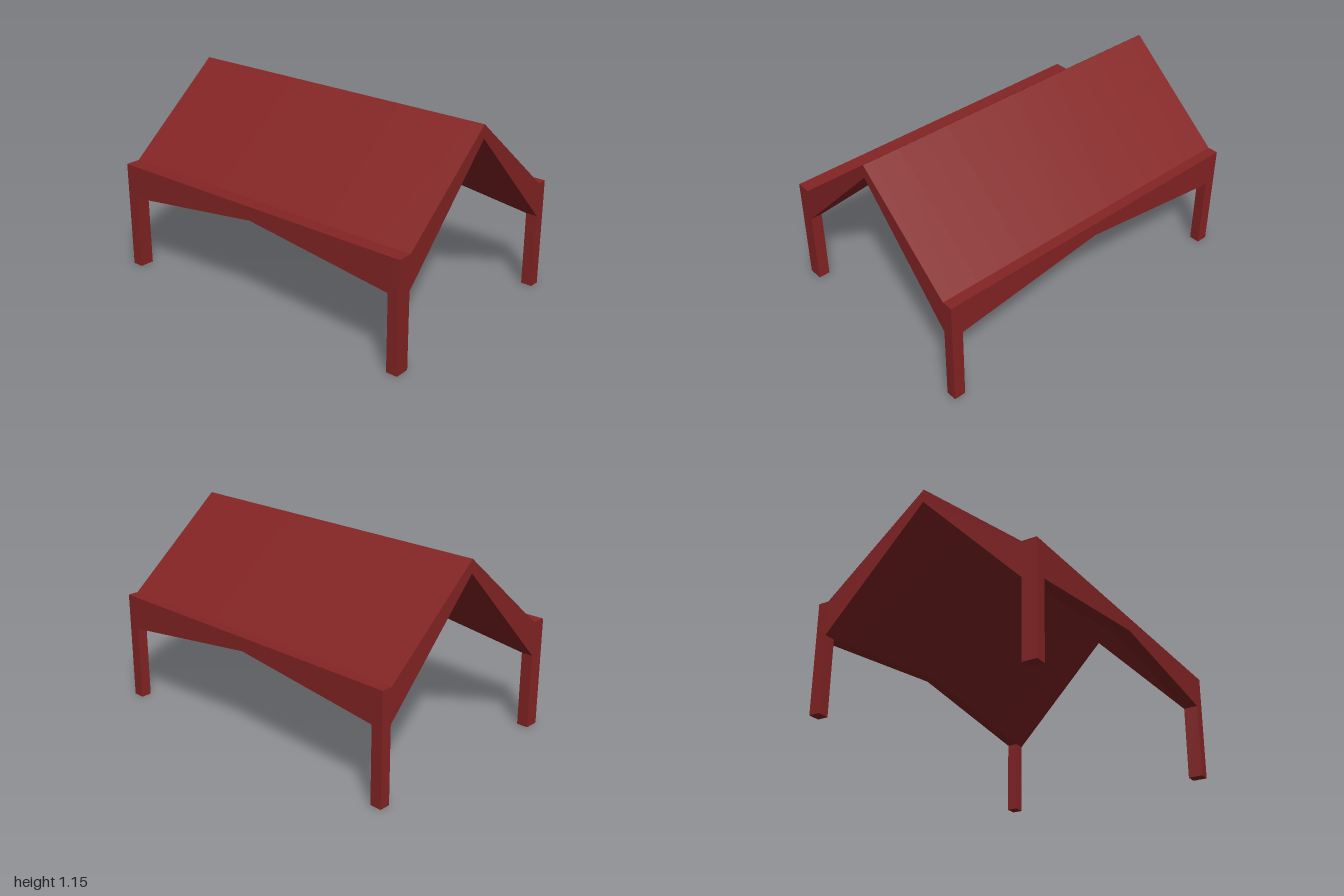
import * as THREE from 'three';

const LEFT = [-0.68, -0.594], RIGHT = [0.614, 0.677]; // x spans of the two eave beams
const RIDGE = 0.01, EAVE = 0.643, LEG_TOP = 0.444, BEAM_MID = 0.563, LEG_Z = 0.932;

// Clockwise cross-section of roof and beams; y is the beam's underside
const section = (y) => [
  [LEFT[0], y], [LEFT[0], EAVE], [LEFT[1], EAVE], [RIDGE, 1.147],
  [RIGHT[0], EAVE], [RIGHT[1], EAVE], [RIGHT[1], y], [RIGHT[0], y],
  [RIDGE, 1.07], [LEFT[1], y],
];

function roofGeometry() {
  // Stations along z: the beam underside rises from each leg to the middle
  const stations = [-1];
  for (let i = -6; i <= 6; i++) stations.push((i / 6) * LEG_Z);
  stations.push(1);
  const rings = stations.map((z) => {
    const t = Math.max(0, 1 - Math.abs(z) / LEG_Z);
    return section(LEG_TOP + (BEAM_MID - LEG_TOP) * t).map(([x, y]) => [x, y, z]);
  });

  const pos = [];
  const quad = (a, b, c, d) => pos.push(...a, ...b, ...c, ...a, ...c, ...d);
  for (let k = 0; k < rings.length - 1; k++) {
    const r = rings[k], s = rings[k + 1];
    for (let i = 0; i < r.length; i++) {
      const j = (i + 1) % r.length;
      quad(r[i], s[i], s[j], r[j]);
    }
  }
  // Gable ends
  const back = rings[0], front = rings[rings.length - 1];
  for (const [a, b, c, d] of [[0, 1, 2, 9], [2, 3, 8, 9], [3, 4, 7, 8], [4, 5, 6, 7]]) {
    quad(back[a], back[b], back[c], back[d]);
    quad(front[d], front[c], front[b], front[a]);
  }
  const geo = new THREE.BufferGeometry();
  geo.setAttribute('position', new THREE.Float32BufferAttribute(pos, 3));
  geo.computeVertexNormals();
  return geo;
}

export function createModel() {
  const group = new THREE.Group();
  group.name = 'gabledShelter';
  const red = new THREE.MeshStandardMaterial({ color: 0x842424 });
  red.name = 'dark red';

  const roof = new THREE.Mesh(roofGeometry(), red);
  roof.name = 'roof';
  group.add(roof);

  // Four corner legs
  for (const [side, [x0, x1]] of [['right', LEFT], ['left', RIGHT]]) {
    for (const [end, dir] of [['Front', 1], ['Back', -1]]) {
      const leg = new THREE.Mesh(new THREE.BoxGeometry(x1 - x0, LEG_TOP, 1 - LEG_Z), red);
      leg.position.set((x0 + x1) / 2, LEG_TOP / 2, (dir * (1 + LEG_Z)) / 2);
      leg.name = `${side}${end}Leg`;
      group.add(leg);
    }
  }
  return group;
}
